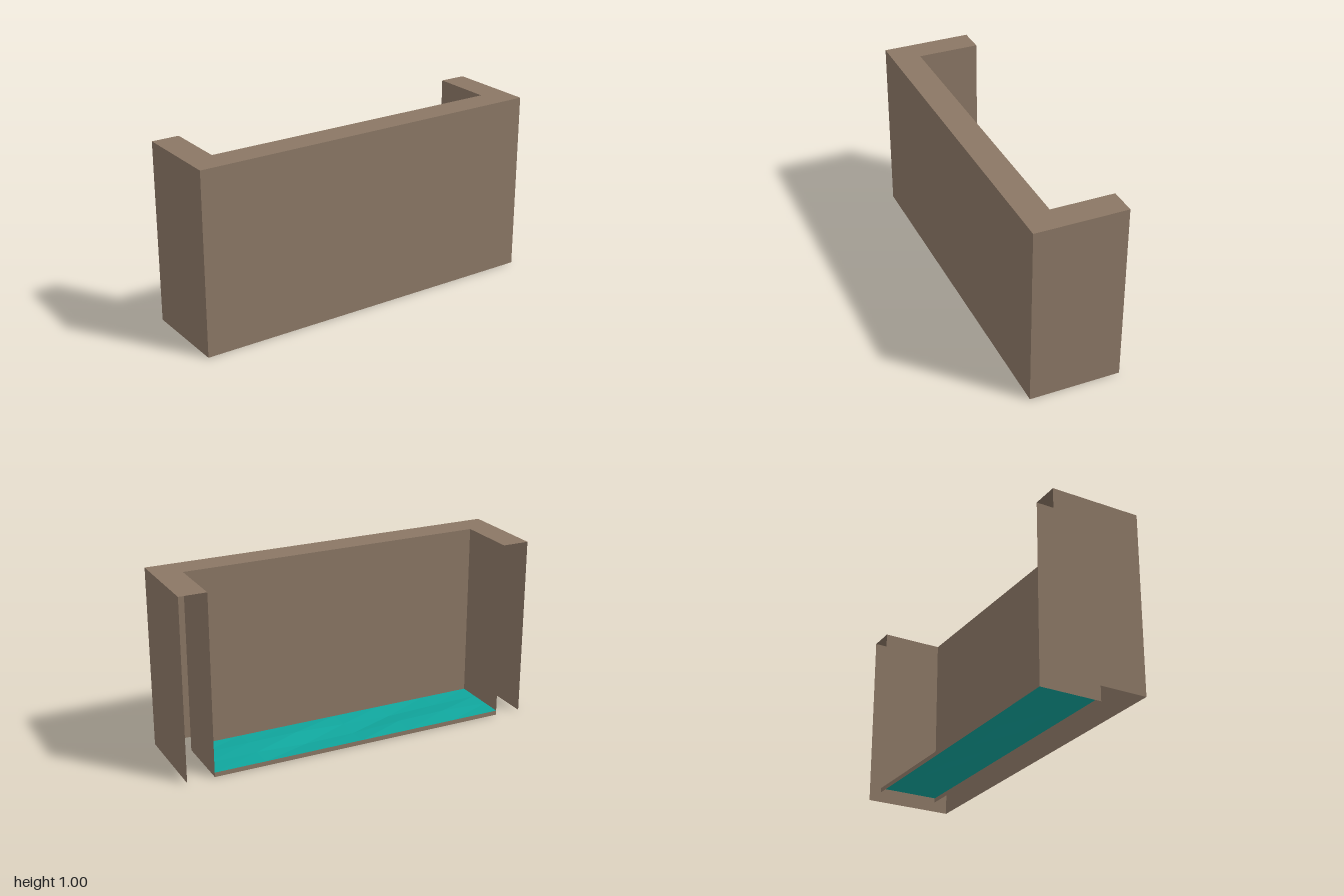
import * as THREE from 'three';

export function createModel() {
  const stone = new THREE.MeshStandardMaterial({ color: 0x8b7765, side: THREE.DoubleSide });
  stone.name = 'stone';
  const teal = new THREE.MeshStandardMaterial({ color: 0x10a69d, side: THREE.DoubleSide, flatShading: true });
  teal.name = 'water';

  const group = new THREE.Group();
  group.name = 'waterBasin';
  const add = (name, geometry, material) => {
    const mesh = new THREE.Mesh(geometry, material);
    mesh.name = name;
    group.add(mesh);
    return mesh;
  };

  // Thin upright sheet standing on y = 0, running from (x1, z1) to (x2, z2)
  const wall = (name, x1, z1, x2, z2, height = 1) => {
    const mesh = add(name, new THREE.PlaneGeometry(Math.hypot(x2 - x1, z2 - z1), height), stone);
    mesh.position.set((x1 + x2) / 2, height / 2, (z1 + z2) / 2);
    mesh.rotation.y = Math.atan2(z1 - z2, x2 - x1);
  };

  const X = 1, IX = 0.85, FRONT = 0.25, IN = 0.095, BACK = -0.25, LEVEL = 0.025;

  // Outer shell, open underneath and at the back ends
  wall('outerFrontWall', -X, FRONT, X, FRONT);
  wall('outerLeftWall', X, FRONT, X, BACK);
  wall('outerRightWall', -X, BACK, -X, FRONT);

  // Inner shell
  wall('innerFrontWall', IX, IN, -IX, IN);
  wall('innerLeftWall', IX, BACK, IX, IN);
  wall('innerRightWall', -IX, IN, -IX, BACK);

  // Low sill holding the water at the back
  wall('backSill', IX, BACK, -IX, BACK, LEVEL);

  // U-shaped top rim
  const rim = new THREE.Shape([
    [-X, -FRONT], [X, -FRONT], [X, -BACK], [IX, -BACK],
    [IX, -IN], [-IX, -IN], [-IX, -BACK], [-X, -BACK],
  ].map(([x, y]) => new THREE.Vector2(x, y)));
  const top = add('topRim', new THREE.ShapeGeometry(rim), stone);
  top.rotation.x = -Math.PI / 2;
  top.position.y = 1;

  // Faceted water surface with gentle ripples away from its edges
  const water = new THREE.PlaneGeometry(2 * IX, IN - BACK, 6, 3);
  water.rotateX(-Math.PI / 2);
  water.translate(0, LEVEL, (IN + BACK) / 2);
  const p = water.attributes.position;
  for (let i = 0; i < p.count; i++) {
    const column = i % 7, row = Math.floor(i / 7);
    if (column % 6 && row % 3) {
      p.setY(i, LEVEL + 0.012 * Math.sin(column * 1.3 + (row - 1) * 2.2));
    }
  }
  water.computeVertexNormals();
  add('waterSurface', water, teal);

  return group;
}
